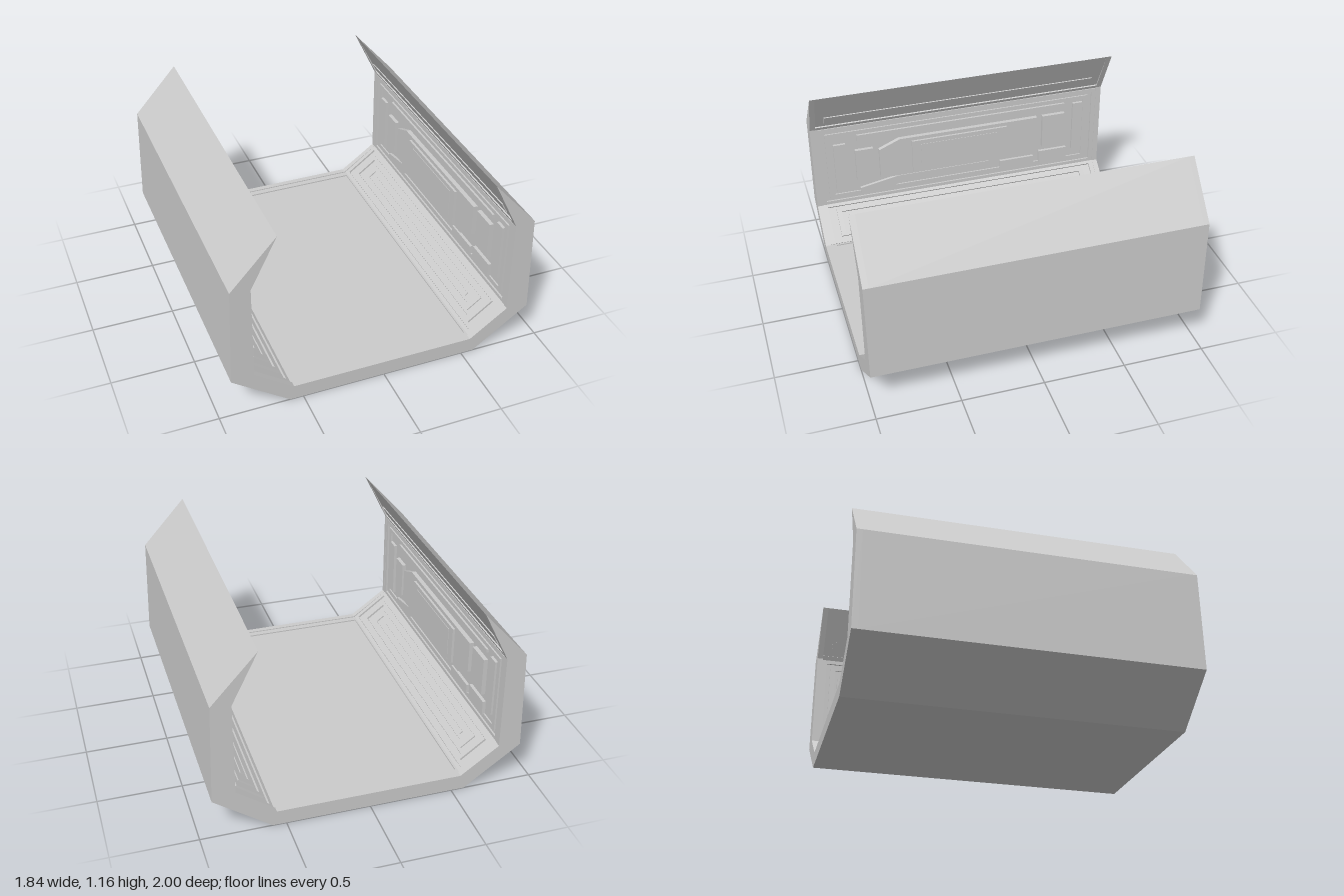
import * as THREE from 'three';

const material = new THREE.MeshStandardMaterial({ color: 0xcccccc, flatShading: true });

// Closed shape from [x, y] points
const polygon = pts => new THREE.Shape(pts.map(p => new THREE.Vector2(...p)));
const rectPts = (u0, v0, u1, v1) => [[u0, v0], [u1, v0], [u1, v1], [u0, v1]];

function extrude(name, shape, depth, z) {
  const geo = new THREE.ExtrudeGeometry(shape, { depth, bevelEnabled: false });
  geo.translate(0, 0, z);
  const mesh = new THREE.Mesh(geo, material);
  mesh.name = name;
  return mesh;
}

// Full trough section from its right half, listed from the bottom outwards
const section = half => polygon([...half, ...half.map(([x, y]) => [-x, y]).reverse()]);

// Group lying on an inner face from p to q: x runs along the trough, z points inwards
function facet(name, p, q) {
  const g = new THREE.Group();
  g.name = name;
  const along = new THREE.Vector3(0, 0, 1);
  const up = new THREE.Vector3(q[0] - p[0], q[1] - p[1], 0).normalize();
  const m = new THREE.Matrix4().makeBasis(along, up, along.clone().cross(up));
  g.quaternion.setFromRotationMatrix(m);
  g.position.set(p[0], p[1], 0);
  return g;
}

// Raised plate on a facet, sunk slightly into it
const plate = (name, pts, height) => extrude(name, polygon(pts), height + 0.004, -0.004);

// Raised rectangular border on a facet
function frame(name, u, v0, v1, wu, wv, height) {
  const shape = polygon(rectPts(-u, v0, u, v1));
  shape.holes.push(new THREE.Path(rectPts(-u + wu, v0 + wv, u - wu, v1 - wv).map(p => new THREE.Vector2(...p))));
  return extrude(name, shape, height + 0.004, -0.004);
}

export function createModel() {
  const model = new THREE.Group();
  model.name = 'trough';

  // Hull: recessed section along the length, full section at both end rims
  const outer = [[0.58, 0], [0.92, 0.245], [0.902, 0.86], [0.633, 1.157]];
  const rim = [[0.785, 0.85], [0.785, 0.258], [0.555, 0.092]];
  const inner = [[0.798, 0.846], [0.798, 0.252], [0.567, 0.078]];
  model.add(extrude('hull', section([...outer, ...inner]), 1.93, -0.965));
  for (const z of [-1, 0.965]) model.add(extrude('endRim', section([...outer, ...rim]), 0.035, z));

  // Floor with a stepped border
  const [wallTop, wallFoot, floorEdge] = inner;
  const floor = facet('floor', [-floorEdge[0], floorEdge[1]], floorEdge);
  floor.add(frame('floorBorder', 0.965, 0, 1.134, 0.038, 0.014, 0.008));
  model.add(floor);

  for (const angle of [0, Math.PI]) {
    const side = new THREE.Group();
    side.name = 'side';
    side.rotation.y = angle;

    // Sloping lower face with nested borders and a long slot
    const slope = facet('lowerSlope', floorEdge, wallFoot);
    slope.add(
      frame('slopeBorder', 0.965, 0.004, 0.285, 0.03, 0.022, 0.012),
      frame('slopeFrame', 0.88, 0.05, 0.242, 0.03, 0.022, 0.012),
      frame('slotFrame', 0.8, 0.09, 0.202, 0.05, 0.026, 0.008),
      plate('slotBar', rectPts(-0.7, 0.135, 0.7, 0.157), 0.007));
    side.add(slope);

    // Upright wall with layered plates
    const wall = facet('wall', wallFoot, wallTop);
    wall.add(frame('wallBorder', 0.965, 0.004, 0.59, 0.03, 0.025, 0.011));
    wall.add(frame('wallFrame', 0.91, 0.05, 0.545, 0.035, 0.025, 0.009));
    const plates = [
      [[[-0.56, 0.16], [0.4, 0.16], [0.54, 0.24], [0.54, 0.44], [-0.42, 0.44], [-0.56, 0.38]], 0.028],
      [rectPts(-0.34, 0.175, 0.32, 0.415), 0.042],
      [rectPts(-0.28, 0.205, 0.26, 0.385), 0.045],
      [[[-0.7, 0.06], [-0.5, 0.06], [-0.36, 0.13], [0.2, 0.13], [0.2, 0.15], [-0.44, 0.15], [-0.7, 0.1]], 0.018],
      [rectPts(-0.72, 0.17, -0.6, 0.4), 0.024],
      [rectPts(-0.86, 0.1, -0.78, 0.46), 0.018],
      [rectPts(0.58, 0.2, 0.74, 0.44), 0.026],
      [rectPts(0.8, 0.14, 0.87, 0.5), 0.018],
      [rectPts(0.28, 0.07, 0.52, 0.13), 0.018],
      [rectPts(0.56, 0.07, 0.76, 0.16), 0.02],
      [[[-0.7, 0.46], [0.3, 0.46], [0.4, 0.49], [0.74, 0.49], [0.74, 0.51], [-0.7, 0.51]], 0.014],
    ];
    for (const [pts, height] of plates) wall.add(plate('wallPlate', pts, height));
    side.add(wall);

    // Inward-leaning upper face with two low rails
    const wing = facet('upperFlange', wallTop, outer[3]);
    wing.add(
      plate('flangeRail', rectPts(-0.965, 0.004, 0.965, 0.03), 0.009),
      plate('flangePanel', rectPts(-0.91, 0.06, 0.91, 0.13), 0.006));
    side.add(wing);
    model.add(side);
  }
  return model;
}
